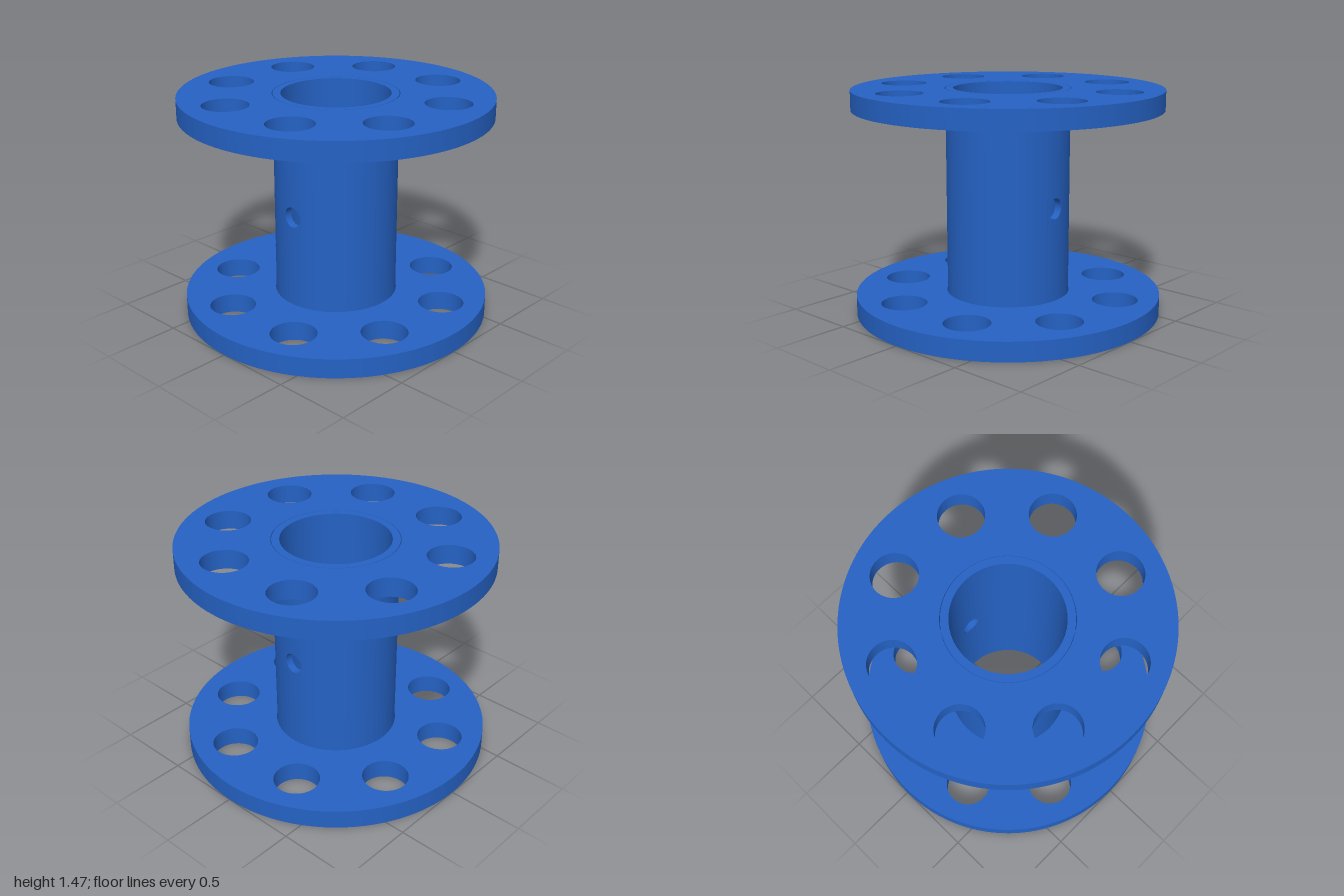
import * as THREE from 'three';
import { toCreasedNormals } from 'three/addons/utils/BufferGeometryUtils.js';
import { ParametricGeometry } from 'three/addons/geometries/ParametricGeometry.js';

const H = 1.467, MID = H / 2;            // overall height
const FLANGE_T = 0.127, FLANGE_R = 1;    // flange disc
const R_OUT = 0.4, R_IN = 0.35;          // tube walls
const HOLE_R = 0.067;                    // cross hole through the tube

// Disc with a centre bore and a ring of eight holes
function flangeGeometry() {
  const shape = new THREE.Shape().absarc(0, 0, FLANGE_R, 0, Math.PI * 2);
  const addHole = (x, y, r) =>
    shape.holes.push(new THREE.Path().absarc(x, y, r, 0, Math.PI * 2, true));
  addHole(0, 0, 0.404);
  for (let i = 0; i < 8; i++) {
    const a = (i + 0.5) * Math.PI / 4;
    addHole(0.731 * Math.cos(a), 0.731 * Math.sin(a), 0.147);
  }
  const geo = new THREE.ExtrudeGeometry(shape, { depth: FLANGE_T, bevelEnabled: false, curveSegments: 80 });
  geo.rotateX(-Math.PI / 2);
  return toCreasedNormals(geo, 0.6);
}

// Point on the edge of a 2 x 2 square, u running once round it
function squareEdge(u) {
  const k = Math.floor(u * 4), f = 2 * (u * 4 - k) - 1;
  return [[1, f], [-f, 1], [-1, -f], [f, -1]][((k % 4) + 4) % 4];
}

// Rim of the cross hole on a wall of radius R, as [angle round tube, height]
function holeRim(u, R) {
  const t = u * Math.PI * 2 - Math.PI / 4;
  return [Math.asin(HOLE_R * Math.cos(t) / R), HOLE_R * Math.sin(t)];
}

const onTube = (a, y, R, target) => target.set(R * Math.sin(a), MID + y, R * Math.cos(a));

// Half of a tube wall, spreading from the hole rim to the wall's border
function halfWall(R, outward) {
  return new ParametricGeometry((u, v, target) => {
    const w = outward ? 1 - u : u;
    const [a0, y0] = holeRim(w, R), [sx, sy] = squareEdge(w);
    onTube(a0 + (sx * Math.PI / 2 - a0) * v, y0 + (sy * MID - y0) * v, R, target);
  }, 192, 20);
}

// Lining of the cross hole between the outer and inner walls
function holeLining() {
  const p = new THREE.Vector3();
  return new ParametricGeometry((u, v, target) => {
    onTube(...holeRim(u, R_OUT), R_OUT, target);
    target.lerp(onTube(...holeRim(u, R_IN), R_IN, p), v);
  }, 192, 1);
}

export function createModel() {
  const model = new THREE.Group();
  const blue = new THREE.MeshStandardMaterial({ color: 0x2562c4 });
  const add = (parent, name, geo) => {
    const mesh = new THREE.Mesh(geo, blue);
    mesh.name = name;
    parent.add(mesh);
    return mesh;
  };

  // Flanges
  const flange = flangeGeometry();
  add(model, 'bottomFlange', flange);
  add(model, 'topFlange', flange).position.y = H - FLANGE_T;

  // Hub tube, made of matching front and back halves
  const hub = new THREE.Group();
  hub.name = 'hubTube';
  model.add(hub);
  const parts = { OuterWall: halfWall(R_OUT, true), InnerWall: halfWall(R_IN, false), HoleLining: holeLining() };
  for (const [side, turn] of [['front', 0], ['back', Math.PI]])
    for (const [part, geo] of Object.entries(parts)) add(hub, side + part, geo).rotation.y = turn;

  // Tube end rims
  const rim = new THREE.RingGeometry(R_IN, R_OUT, 96);
  const topRim = add(hub, 'topRim', rim);
  topRim.rotation.x = -Math.PI / 2;
  topRim.position.y = H;
  add(hub, 'bottomRim', rim).rotation.x = Math.PI / 2;

  return model;
}
